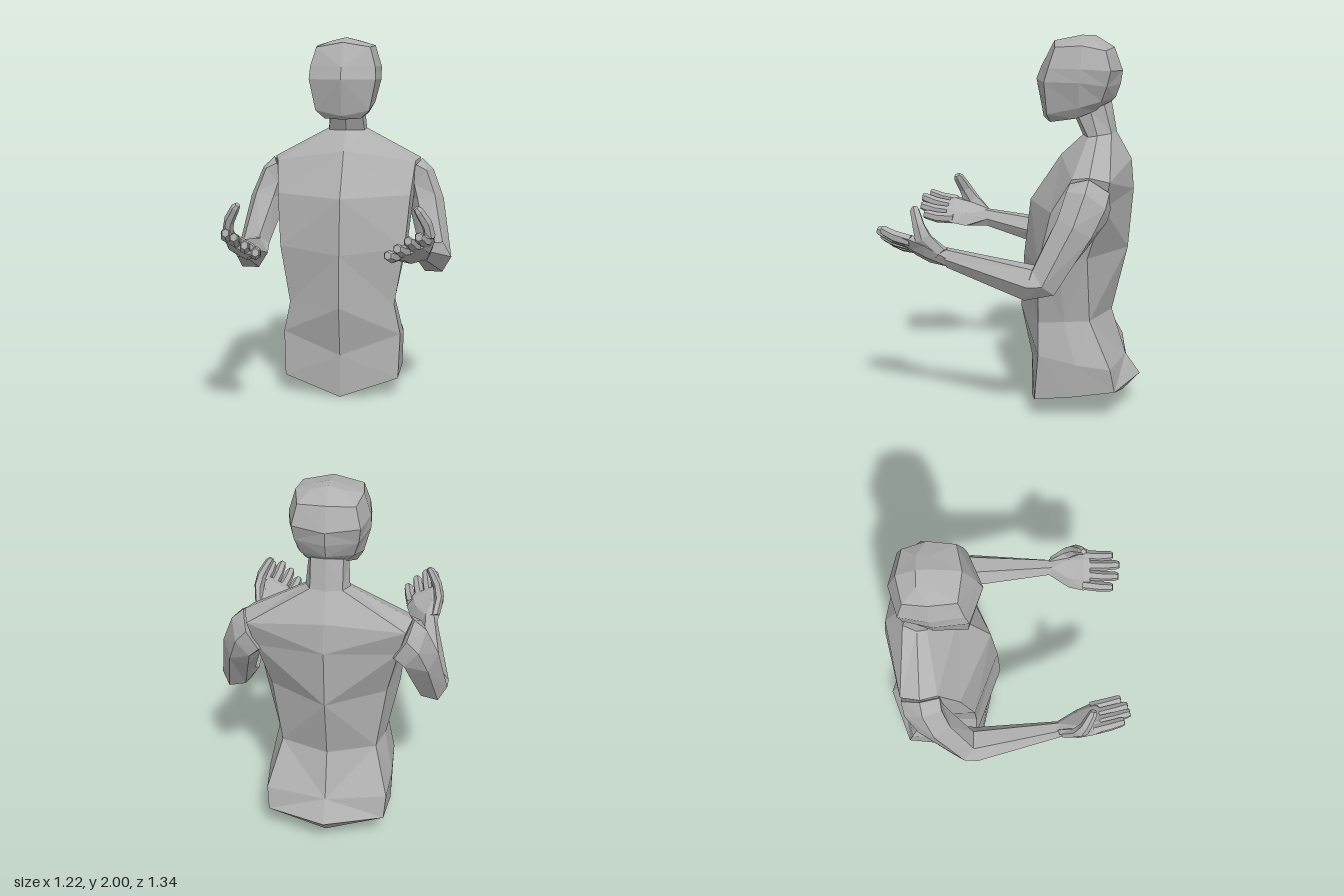
import * as THREE from 'three';

const skin = new THREE.MeshStandardMaterial({ color: 0xb0b0b0, flatShading: true });
skin.name = 'plain grey';

// Skin a list of equal-length rings into a closed, flat-shaded solid.
function loft(name, rings) {
  const pos = [];
  const tri = (a, b, c) => {
    const n = new THREE.Vector3().crossVectors(b.clone().sub(a), c.clone().sub(a));
    if (n.length() > 1e-8) pos.push(...a.toArray(), ...b.toArray(), ...c.toArray());
  };
  // Split each quad along its shorter diagonal
  const quad = (a, b, c, d) => {
    if (a.distanceTo(c) < b.distanceTo(d)) {
      tri(a, b, c);
      tri(a, c, d);
    } else {
      tri(a, b, d);
      tri(b, c, d);
    }
  };
  const n = rings[0].length;
  for (let r = 0; r < rings.length - 1; r++) {
    for (let i = 0; i < n; i++) {
      const j = (i + 1) % n, A = rings[r], B = rings[r + 1];
      quad(A[i], A[j], B[j], B[i]);
    }
  }
  const cap = (ring, flip) => {
    const c = new THREE.Vector3();
    ring.forEach(p => c.addScaledVector(p, 1 / n));
    ring.forEach((p, i) => {
      const q = ring[(i + 1) % n];
      flip ? tri(c, q, p) : tri(c, p, q);
    });
  };
  cap(rings[0], true);
  cap(rings[rings.length - 1], false);

  // Turn all faces outward when the enclosed volume comes out negative
  let volume = 0;
  const at = k => new THREE.Vector3(pos[k], pos[k + 1], pos[k + 2]);
  for (let k = 0; k < pos.length; k += 9) volume += at(k).dot(at(k + 3).cross(at(k + 6)));
  if (volume < 0) {
    for (let k = 0; k < pos.length; k += 9) {
      for (let m = 0; m < 3; m++) [pos[k + 3 + m], pos[k + 6 + m]] = [pos[k + 6 + m], pos[k + 3 + m]];
    }
  }
  const geo = new THREE.BufferGeometry();
  geo.setAttribute('position', new THREE.Float32BufferAttribute(pos, 3));
  geo.computeVertexNormals();
  const mesh = new THREE.Mesh(geo, skin);
  mesh.name = name;
  return mesh;
}

// Half section (front centre, front corner, side, back corner, back centre) to full ring
function mirrored(half) {
  const right = half.slice(1, -1).reverse().map(([x, y, z]) => [-x, y, z]);
  return [...half, ...right].map(p => new THREE.Vector3(...p));
}

// Six-sided ring: centre c, half-width vector u, half-thickness vector v
function hexRing(side, c, u, v) {
  return Array.from({ length: 6 }, (_, i) => {
    const a = i * Math.PI / 3, cu = Math.cos(a), sv = Math.sin(a) / Math.sin(Math.PI / 3);
    const p = c.map((k, m) => k + u[m] * cu + v[m] * sv);
    return new THREE.Vector3(p[0] * side, p[1], p[2]);
  });
}

function limb(name, side, rings) {
  return loft(name, rings.map(([c, u, v]) => hexRing(side, c, u, v)));
}

function createArm(side, prefix) {
  const g = new THREE.Group();
  g.name = prefix + 'Arm';
  // Shoulder, upper arm, elbow and forearm in one piece
  g.add(limb(prefix + 'ArmBody', side, [
    [[0.37, 1.22, -0.43], [0.06, 0.1, 0], [0, 0.02, 0.1]],
    [[0.425, 1.18, -0.42], [0.068, 0.08, 0], [0, 0.04, 0.098]],
    [[0.46, 1.07, -0.37], [0.095, 0.03, 0], [0, 0.045, 0.085]],
    [[0.515, 0.825, -0.225], [0.09, -0.02, 0], [0, 0.06, 0.055]],
    [[0.515, 0.8, -0.15], [0.095, 0, 0], [0, 0.08, -0.02]],
    [[0.475, 0.9, 0.29], [0.045, 0, 0], [0, 0.047, 0.005]],
  ]));
  // Palm, tilted inward
  g.add(limb(prefix + 'Palm', side, [
    [[0.475, 0.9, 0.28], [0.044, 0.005, 0], [0, 0.045, 0.005]],
    [[0.453, 0.92, 0.39], [0.092, 0.052, 0], [-0.018, 0.04, 0]],
    [[0.436, 0.945, 0.47], [0.104, 0.056, 0], [-0.016, 0.034, 0]],
    [[0.432, 0.955, 0.505], [0.095, 0.05, 0], [-0.012, 0.024, 0]],
  ]));
  // Fingers: base and tip, index to little finger
  const fingers = [
    ['index', [0.505, 0.985, 0.47], [0.478, 1.03, 0.63]],
    ['middle', [0.457, 0.96, 0.48], [0.428, 1.015, 0.665]],
    ['ring', [0.408, 0.935, 0.48], [0.376, 0.975, 0.66]],
    ['little', [0.36, 0.91, 0.465], [0.328, 0.935, 0.63]],
  ];
  for (const [name, base, tip] of fingers) {
    const along = t => base.map((k, m) => k + (tip[m] - k) * t);
    const size = s => [[0.026 * s, 0.014 * s, 0], [-0.012 * s, 0.024 * s, -0.004]];
    const middle = along(0.55);
    middle[1] -= 0.008;
    g.add(limb(prefix + name[0].toUpperCase() + name.slice(1) + 'Finger', side, [
      [base, ...size(1)], [middle, ...size(0.98)], [along(0.9), ...size(0.88)], [tip, ...size(0.65)],
    ]));
  }
  // Thumb, curling up and inward
  g.add(limb(prefix + 'Thumb', side, [
    [[0.505, 0.925, 0.31], [0.025, 0, 0.01], [0, 0.025, -0.025]],
    [[0.52, 0.995, 0.395], [0.027, 0.012, 0.005], [0, 0.026, -0.036]],
    [[0.505, 1.065, 0.425], [0.024, 0.016, 0], [0, 0.012, -0.028]],
    [[0.465, 1.135, 0.455], [0.019, 0.013, 0], [0, 0.009, -0.022]],
    [[0.452, 1.15, 0.46], [0.012, 0.008, 0], [0, 0.005, -0.014]],
  ]));
  return g;
}

export function createModel() {
  const model = new THREE.Group();
  model.name = 'upperBodyFigure';

  // Torso and neck, from the keel-shaped underside upward
  model.add(loft('torso', [
    [[0, 0, -0.07], [0, 0, -0.07], [0, 0.03, -0.33], [0, 0.07, -0.58], [0, 0.07, -0.58]],
    [[0, 0, -0.07], [0.32, 0.1, -0.14], [0.33, 0.13, -0.34], [0.31, 0.165, -0.565], [0, 0.17, -0.67]],
    [[0, 0.24, -0.07], [0.33, 0.35, -0.16], [0.335, 0.31, -0.36], [0.32, 0.29, -0.54], [0, 0.28, -0.59]],
    [[0, 0.52, -0.01], [0.295, 0.52, -0.155], [0.29, 0.53, -0.29], [0.25, 0.53, -0.42], [0, 0.53, -0.51]],
    [[0, 0.81, -0.025], [0.35, 0.84, -0.16], [0.36, 0.87, -0.28], [0.3, 0.88, -0.41], [0, 0.88, -0.59]],
    [[0, 1.12, -0.06], [0.375, 1.13, -0.23], [0.39, 1.14, -0.34], [0.36, 1.16, -0.5], [0, 1.2, -0.615]],
    [[0, 1.37, -0.225], [0.395, 1.31, -0.34], [0.42, 1.325, -0.43], [0.395, 1.3, -0.53], [0, 1.36, -0.6]],
    [[0, 1.48, -0.34], [0.1, 1.48, -0.38], [0.11, 1.49, -0.43], [0.08, 1.5, -0.5], [0, 1.5, -0.52]],
    [[0, 1.59, -0.29], [0.09, 1.6, -0.32], [0.1, 1.62, -0.39], [0.08, 1.65, -0.46], [0, 1.66, -0.49]],
  ].map(mirrored)));

  // Head, from jaw to crown ridge
  model.add(loft('head', [
    [[0, 1.55, -0.16], [0.1, 1.555, -0.18], [0.13, 1.58, -0.32], [0.09, 1.62, -0.42], [0, 1.64, -0.47]],
    [[0, 1.57, -0.13], [0.15, 1.6, -0.17], [0.165, 1.64, -0.34], [0.13, 1.67, -0.45], [0, 1.68, -0.51]],
    [[0, 1.77, -0.09], [0.185, 1.77, -0.16], [0.2, 1.77, -0.34], [0.155, 1.75, -0.48], [0, 1.75, -0.535]],
    [[0, 1.835, -0.115], [0.18, 1.84, -0.18], [0.2, 1.84, -0.35], [0.165, 1.83, -0.5], [0, 1.82, -0.545]],
    [[0, 1.97, -0.185], [0.15, 1.945, -0.21], [0.165, 1.955, -0.35], [0.14, 1.93, -0.47], [0, 1.94, -0.5]],
    [[0, 2, -0.33], [0.08, 1.98, -0.33], [0.08, 1.98, -0.365], [0.08, 1.98, -0.4], [0, 2, -0.4]],
    [[0, 2, -0.33], [0, 2, -0.33], [0, 2, -0.365], [0, 2, -0.4], [0, 2, -0.4]],
  ].map(mirrored)));

  model.add(createArm(1, 'left'), createArm(-1, 'right'));
  return model;
}
